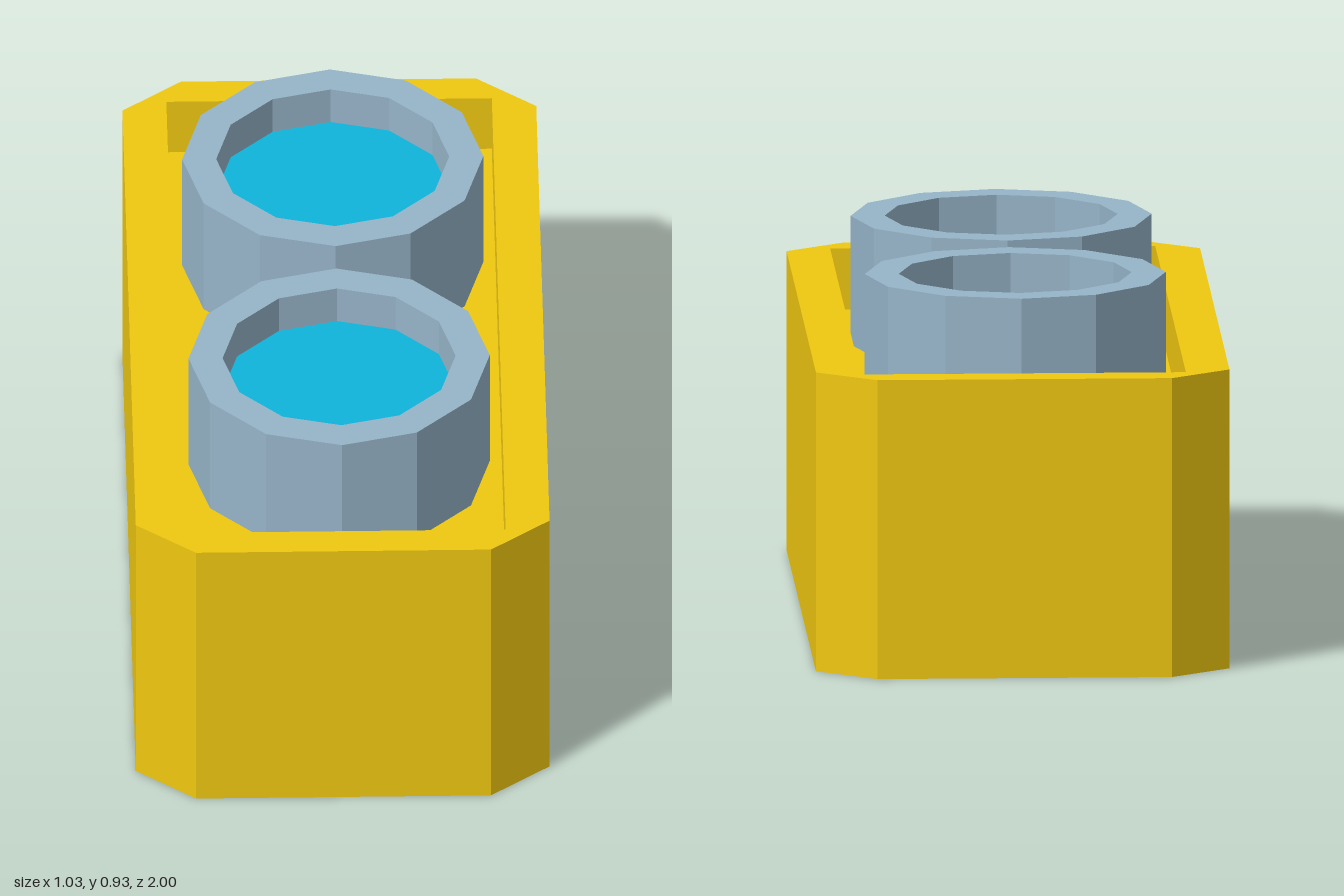
import * as THREE from 'three';

const material = (color) => new THREE.MeshStandardMaterial({ color, flatShading: true });

// Extrudes a plan outline (x, z) upwards from y0 to y1
function slab(shape, y0, y1) {
  const geometry = new THREE.ExtrudeGeometry(shape, { depth: y1 - y0, bevelEnabled: false });
  geometry.rotateX(-Math.PI / 2);
  geometry.translate(0, y0, 0);
  return geometry;
}

const outline = (points) => new THREE.Shape(points.map(([x, y]) => new THREE.Vector2(x, y)));

function ngon(radius, sides) {
  return Array.from({ length: sides }, (_, i) => {
    const a = (i / sides) * Math.PI * 2;
    return [radius * Math.cos(a), radius * Math.sin(a)];
  });
}

export function createModel() {
  const model = new THREE.Group();
  const yellow = material(0xf0c810);
  const grey = material(0x96b4c8);
  const blue = material(0x10b4dc);

  const add = (name, geometry, mat, parent = model) => {
    const mesh = new THREE.Mesh(geometry, mat);
    mesh.name = name;
    parent.add(mesh);
    return mesh;
  };

  const W = 0.515, L = 1, cx = 0.367, cz = 0.88;
  const floorY = 0.6, rimY = 0.755, topY = 0.925;

  // Tray with chamfered corners: solid base, then a wall around the recess
  const corners = [
    [W, -cz], [W, cz], [cx, L], [-cx, L],
    [-W, cz], [-W, -cz], [-cx, -L], [cx, -L],
  ];
  const tray = new THREE.Group();
  tray.name = 'tray';
  model.add(tray);
  add('trayBase', slab(outline(corners), 0, floorY), yellow, tray);
  const wall = outline(corners);
  wall.holes.push(outline([[-0.405, -0.915], [-0.405, 0.915], [0.405, 0.915], [0.405, -0.915]]));
  add('trayWall', slab(wall, floorY, rimY), yellow, tray);

  // Two twelve-sided cups standing in the recess, each with a sunken disc
  for (const [name, z] of [['frontCup', 0.41], ['backCup', -0.435]]) {
    const cup = new THREE.Group();
    cup.name = name;
    cup.position.z = z;
    model.add(cup);
    const ring = outline(ngon(0.375, 12));
    ring.holes.push(outline(ngon(0.29, 12).reverse()));
    add('cupRing', slab(ring, floorY, topY), grey, cup);
    add('cupFill', slab(outline(ngon(0.29, 12)), floorY, 0.825), blue, cup);
  }
  return model;
}
